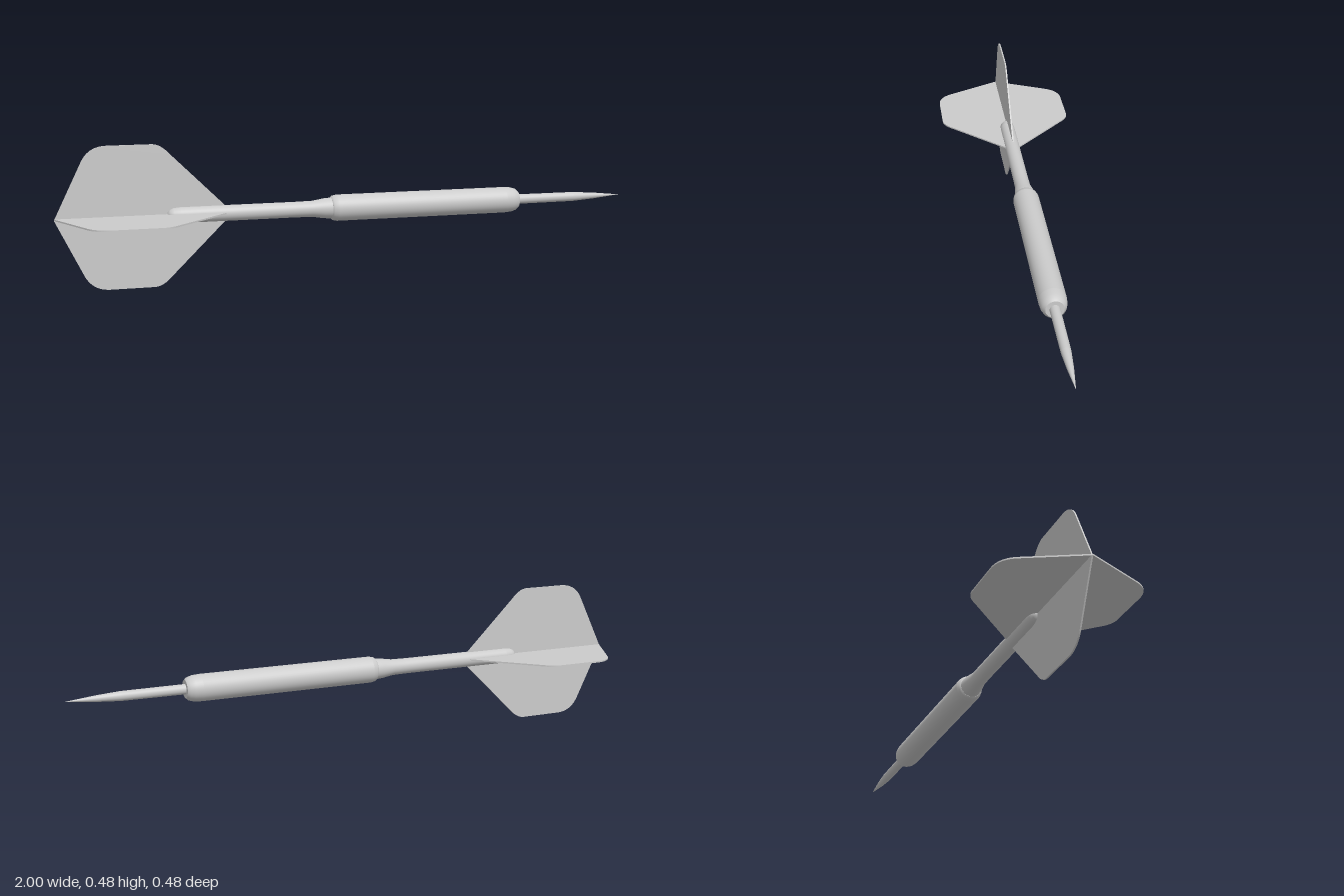
import * as THREE from 'three';
import { mergeGeometries } from 'three/addons/utils/BufferGeometryUtils.js';

const AXIS_Y = 0.239;
const material = new THREE.MeshStandardMaterial({ color: 0xcccccc });

// Turned part along x; each run of [x, radius] is smooth, edges between runs stay sharp
function turned(name, ...runs) {
  const lathes = runs.map(run =>
    new THREE.LatheGeometry(run.map(([x, r]) => new THREE.Vector2(r, x)), 40));
  const geometry = mergeGeometries(lathes).rotateZ(-Math.PI / 2);
  const mesh = new THREE.Mesh(geometry, material);
  mesh.name = name;
  return mesh;
}

// Kite-like plate with rounded outer corners, symmetric about the dart's axis
function flightPlate() {
  const s = new THREE.Shape();
  s.moveTo(-1, 0);
  s.lineTo(-0.91, -0.185);
  s.quadraticCurveTo(-0.885, -0.239, -0.825, -0.239);
  s.lineTo(-0.68, -0.239);
  s.quadraticCurveTo(-0.65, -0.239, -0.62, -0.205);
  s.lineTo(-0.44, -0.027);
  s.lineTo(-0.44, 0.027);
  s.lineTo(-0.62, 0.205);
  s.quadraticCurveTo(-0.65, 0.239, -0.68, 0.239);
  s.lineTo(-0.825, 0.239);
  s.quadraticCurveTo(-0.885, 0.239, -0.91, 0.185);
  s.closePath();
  return new THREE.ExtrudeGeometry(s, { depth: 0.005, bevelEnabled: false, curveSegments: 12 })
    .translate(0, 0, -0.005);
}

export function createModel() {
  const model = new THREE.Group();
  model.name = 'dart';

  const dart = new THREE.Group();
  dart.name = 'dartBody';
  dart.position.y = AXIS_Y;
  model.add(dart);

  // Needle point: straight rod, then a long taper
  dart.add(turned('point',
    [[0.58, 0.017], [0.82, 0.016]],
    [[0.82, 0.016], [0.9, 0.0105], [1, 0]]));

  // Barrel: stepped back end, rounded nose
  dart.add(turned('barrel',
    [[-0.075, 0], [-0.075, 0.036]],
    [[-0.075, 0.036], [-0.07, 0.042], [-0.055, 0.045]],
    [[-0.055, 0.045], [0.555, 0.045]],
    [[0.555, 0.045], [0.58, 0.043], [0.597, 0.038], [0.606, 0.03]],
    [[0.606, 0.03], [0.606, 0]]));

  // Shaft: rounded tail end, flaring into the barrel
  dart.add(turned('shaft',
    [[-0.634, 0], [-0.632, 0.011], [-0.624, 0.019], [-0.612, 0.0245], [-0.59, 0.0265]],
    [[-0.59, 0.0265], [-0.2, 0.0265], [-0.14, 0.0275], [-0.1, 0.034], [-0.07, 0.036]]));

  // Two crossing plates form the four flights
  const plate = flightPlate();
  ['verticalFlight', 'horizontalFlight'].forEach((name, i) => {
    const flight = new THREE.Mesh(plate, material);
    flight.name = name;
    flight.rotation.x = i * Math.PI / 2;
    dart.add(flight);
  });

  return model;
}
